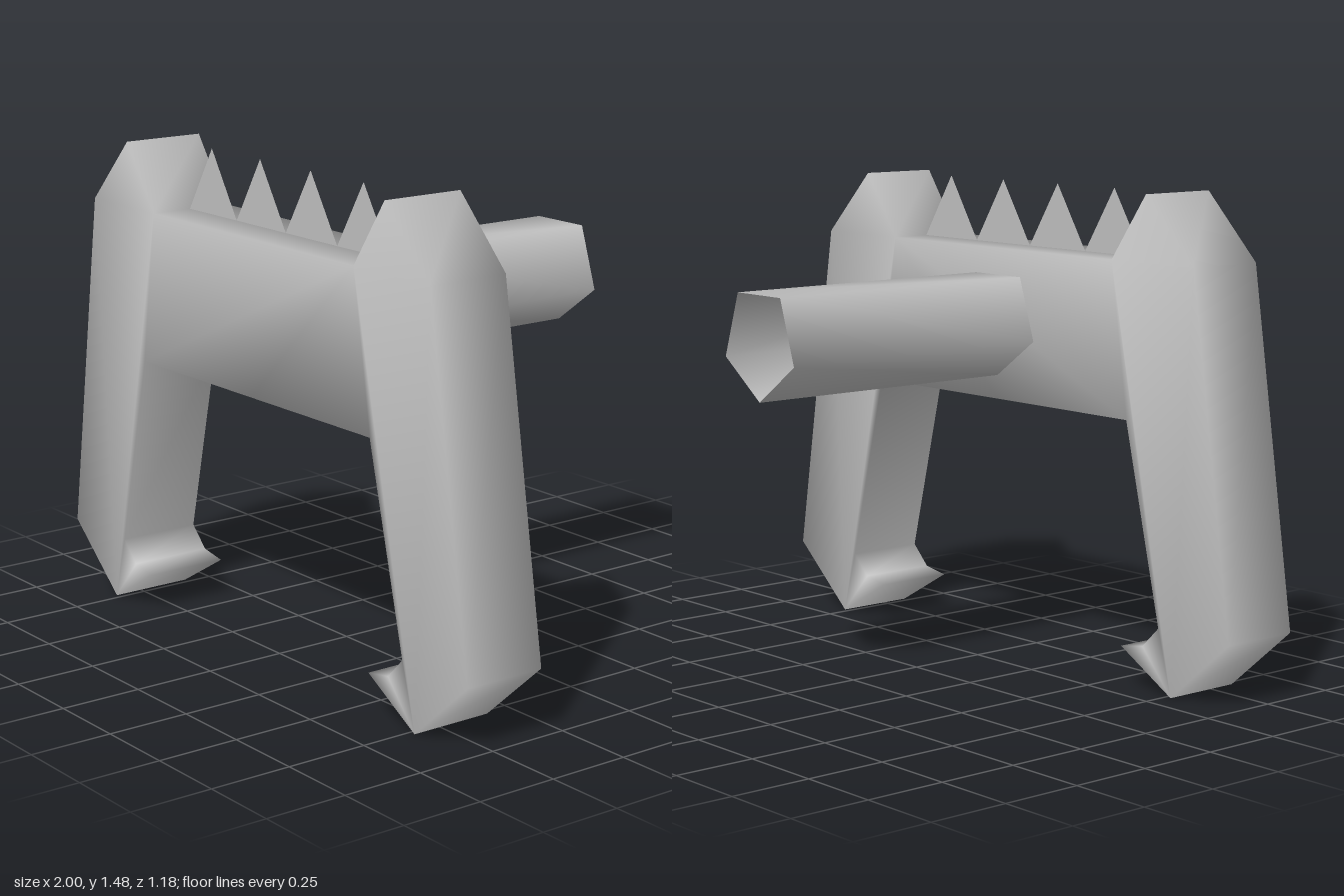
import * as THREE from 'three';
import { mergeVertices } from 'three/addons/utils/BufferGeometryUtils.js';

const FRONT = 0.59, BACK = 0.33, MID = (FRONT + BACK) / 2;

// Weld coincident corners so the shading runs smoothly over the edges
function soften(geometry) {
  geometry.deleteAttribute('uv');
  geometry.deleteAttribute('normal');
  const welded = mergeVertices(geometry, 1e-4);
  welded.computeVertexNormals();
  return welded;
}

export function createModel() {
  const model = new THREE.Group();
  model.name = 'clawedArch';
  const grey = new THREE.MeshStandardMaterial({ color: 0xbfbfbf, side: THREE.DoubleSide });
  grey.name = 'plainGrey';

  const add = (name, geometry) => {
    const mesh = new THREE.Mesh(geometry, grey);
    mesh.name = name;
    model.add(mesh);
  };

  // Arch with horned shoulders and hooked feet: half outline, mirrored
  const half = [
    [0.5, 1.275], [0.64, 1.475], [0.835, 1.275], [1, 0.2], [0.77, 0],
    [0.56, 0.12], [0.65, 0.135], [0.715, 0.2], [0.57, 0.805],
  ];
  const outline = [
    ...half, [0, 0.805],
    ...half.slice().reverse().map(([x, y]) => [-x, y]),
  ].map(([x, y]) => new THREE.Vector2(x, y));
  const arch = new THREE.ExtrudeGeometry(new THREE.Shape(outline), {
    depth: FRONT - BACK, bevelEnabled: false,
  });
  arch.translate(0, 0, BACK);
  add('arch', soften(arch));

  // Row of thin spikes along the middle of the top
  for (let i = 0; i < 4; i++) {
    const x = -0.5 + i * 0.25;
    const spike = new THREE.Shape([
      new THREE.Vector2(x, 1.275),
      new THREE.Vector2(x + 0.25, 1.275),
      new THREE.Vector2(x + 0.125, 1.475),
    ]);
    const geometry = new THREE.ShapeGeometry(spike);
    geometry.translate(0, 0, MID);
    add('spike' + (i + 1), geometry);
  }

  // Hollow five-sided handle reaching backwards
  const handle = new THREE.CylinderGeometry(0.173, 0.173, 0.92, 5, 1, true);
  handle.rotateX(Math.PI / 2);
  handle.translate(0.003, 1.052, -0.13);
  add('handle', soften(handle));

  return model;
}
